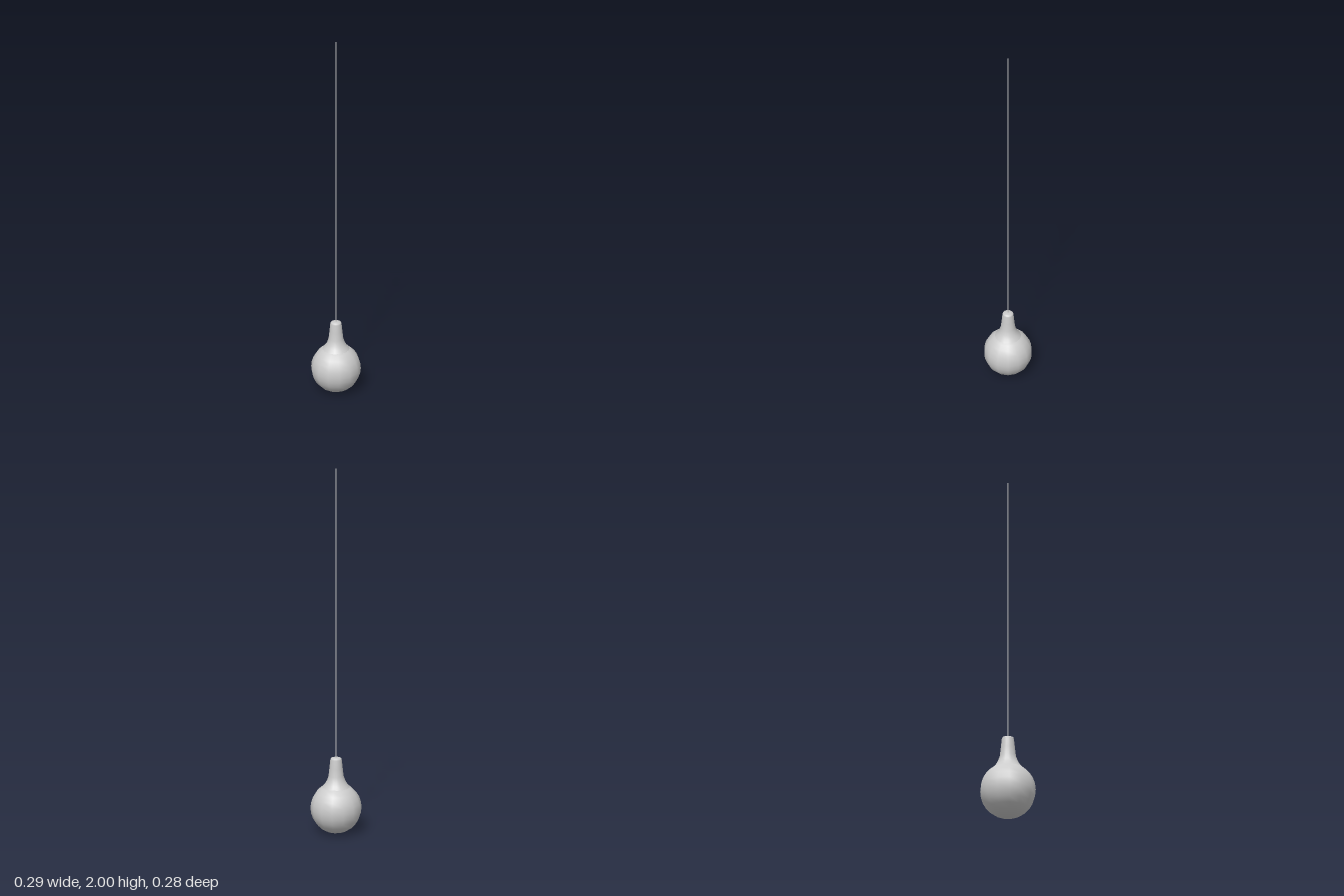
import * as THREE from 'three';

const SIDES = 14;
const grey = () => new THREE.MeshStandardMaterial({ color: 0xcccccc });

// Turned part from [radius, height] points, with a corner on the x axis
function turned(name, points, sides = SIDES) {
  const profile = points.map(([r, y]) => new THREE.Vector2(r, y));
  const mesh = new THREE.Mesh(new THREE.LatheGeometry(profile, sides, Math.PI / 2), grey());
  mesh.name = name;
  return mesh;
}

export function createModel() {
  const group = new THREE.Group();
  group.name = 'hangingBulb';

  // Round glass bulb
  const R = 0.143, rows = 14;
  const ball = [];
  for (let i = 0; i <= rows; i++) {
    const a = (i / rows) * Math.PI;
    ball.push([i % rows ? R * Math.sin(a) : 0, R - R * Math.cos(a)]);
  }
  group.add(turned('bulb', ball));

  // Flared socket sitting on the bulb, with a slightly domed cap
  group.add(turned('socket', [
    [0.077, 0.262], [0.062, 0.28], [0.051, 0.3], [0.042, 0.326],
    [0.037, 0.37], [0.032, 0.418], [0.029, 0.426], [0.018, 0.43], [0, 0.431],
  ], 20));

  // Thin cord up to the ceiling
  const bottom = 0.425, top = 2;
  const cord = new THREE.Mesh(
    new THREE.CylinderGeometry(0.0025, 0.0025, top - bottom, 8), grey());
  cord.name = 'cord';
  cord.position.y = (top + bottom) / 2;
  group.add(cord);

  return group;
}
